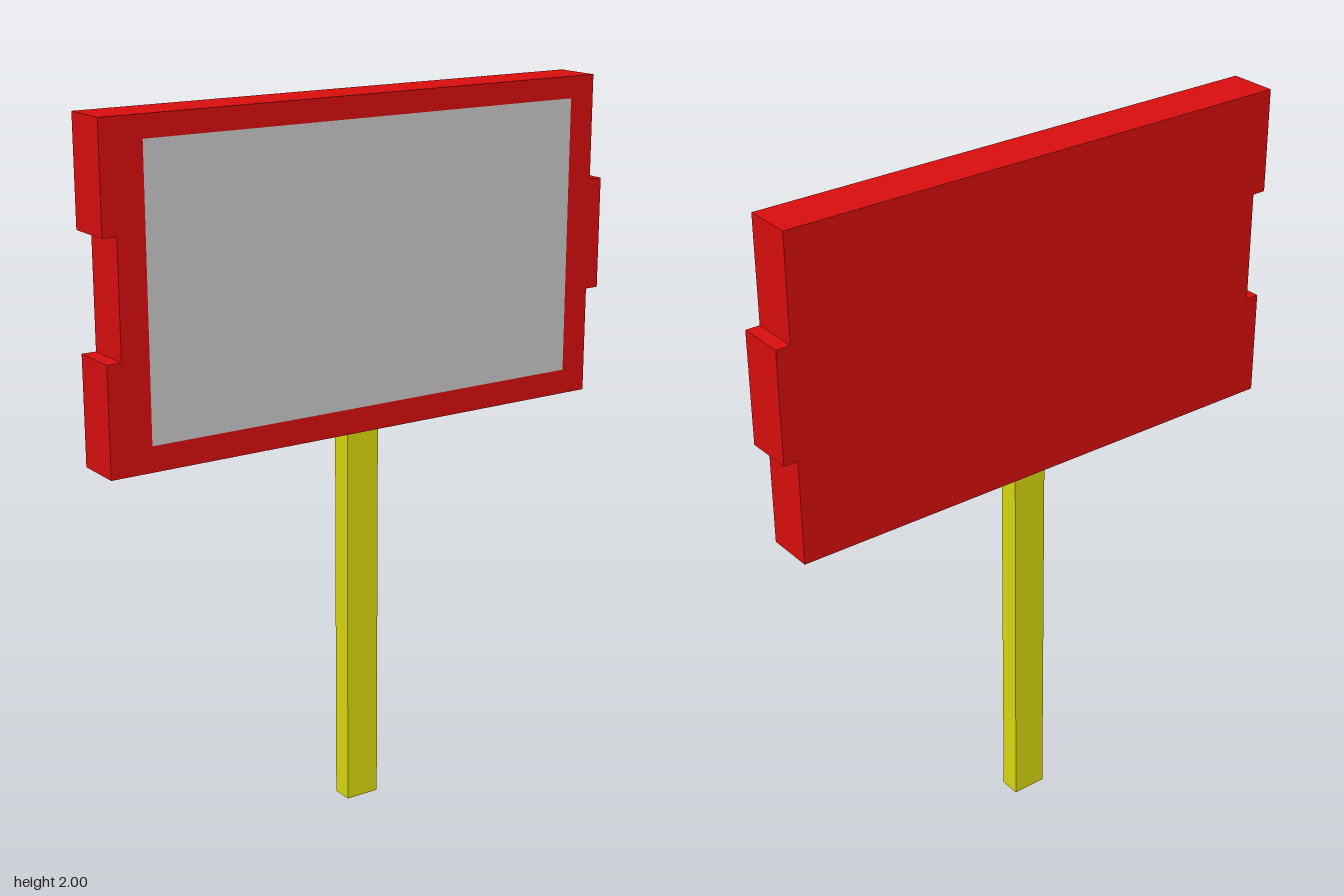
import * as THREE from 'three';

const DEPTH = 0.136;

function add(group, name, geometry, color, x, y, z) {
  const mesh = new THREE.Mesh(geometry, new THREE.MeshStandardMaterial({ color }));
  mesh.name = name;
  mesh.position.set(x, y, z);
  group.add(mesh);
}

export function createModel() {
  const group = new THREE.Group();
  group.name = 'signOnPost';

  // Board outline: notch on one side, matching tab on the other
  const left = -0.782, right = 0.742, step = 0.04;
  const bottom = 1.1, low = 1.397, high = 1.71, top = 2;
  const outline = new THREE.Shape([
    [left, bottom], [right, bottom],
    [right, low], [right + step, low], [right + step, high], [right, high],
    [right, top], [left, top],
    [left, high], [left + step, high], [left + step, low], [left, low],
  ].map(([x, y]) => new THREE.Vector2(x, y)));
  const board = new THREE.ExtrudeGeometry(outline, { depth: DEPTH, bevelEnabled: false });
  add(group, 'board', board, 0xdd0e0e, 0, 0, -DEPTH / 2);

  // Grey panel, flush with the front of the board
  add(group, 'frontPanel', new THREE.PlaneGeometry(1.328, 0.77), 0xcccccc, 0, 1.555, DEPTH / 2 + 0.001);

  // Square-cut post
  add(group, 'post', new THREE.BoxGeometry(0.1, bottom, 0.06), 0xdddd0e, 0, bottom / 2, 0);

  return group;
}
